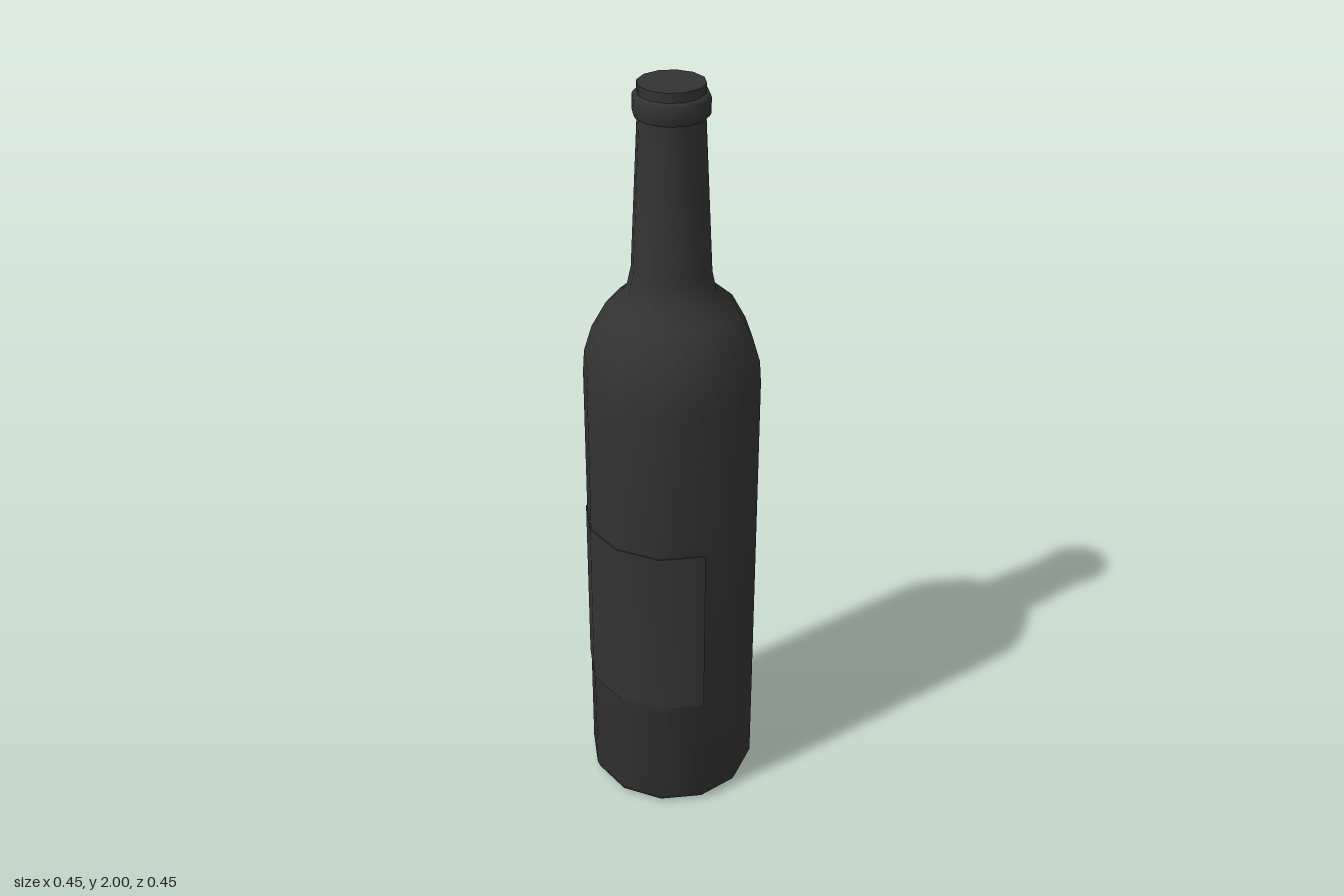
import * as THREE from 'three';
import { toCreasedNormals } from 'three/addons/utils/BufferGeometryUtils.js';

const SIDES = 12;
const points = (list) => list.map(([r, y]) => new THREE.Vector2(r, y));

export function createModel() {
  const group = new THREE.Group();
  group.name = 'bottle';

  const add = (name, geometry, color, side = THREE.FrontSide) => {
    const material = new THREE.MeshStandardMaterial({ color, side });
    const mesh = new THREE.Mesh(toCreasedNormals(geometry, 0.9), material);
    mesh.name = name;
    mesh.position.z = -0.002;
    group.add(mesh);
  };

  // Glass: hollow punt underneath, straight body, round shoulder, tapering neck
  add('glassBody', new THREE.LatheGeometry(points([
    [0, 0.12], [0.07, 0.1], [0.13, 0.05], [0.17, 0.01], [0.2, 0],
    [0.217, 0.008], [0.226, 0.028], [0.226, 1.23], [0.222, 1.29], [0.201, 1.36],
    [0.163, 1.43], [0.112, 1.475], [0.1, 1.53], [0.081, 1.93],
  ]), SIDES), 0x333333);

  // Lip ring and flat closed mouth
  add('lipRing', new THREE.LatheGeometry(points([
    [0.078, 1.922], [0.089, 1.922], [0.093, 1.929], [0.093, 1.968],
    [0.089, 1.975], [0.078, 1.977],
  ]), SIDES), 0x333333);
  add('mouth', new THREE.LatheGeometry(points([
    [0.082, 1.965], [0.082, 2], [0, 2],
  ]), SIDES), 0x333333);

  // Blank label wrapped round the four front facets
  add('label', new THREE.LatheGeometry(points([
    [0.225, 0.34], [0.229, 0.34], [0.229, 0.825], [0.225, 0.825],
  ]), 4, -Math.PI / 3, Math.PI * 2 / 3), 0x333333, THREE.DoubleSide);

  return group;
}
